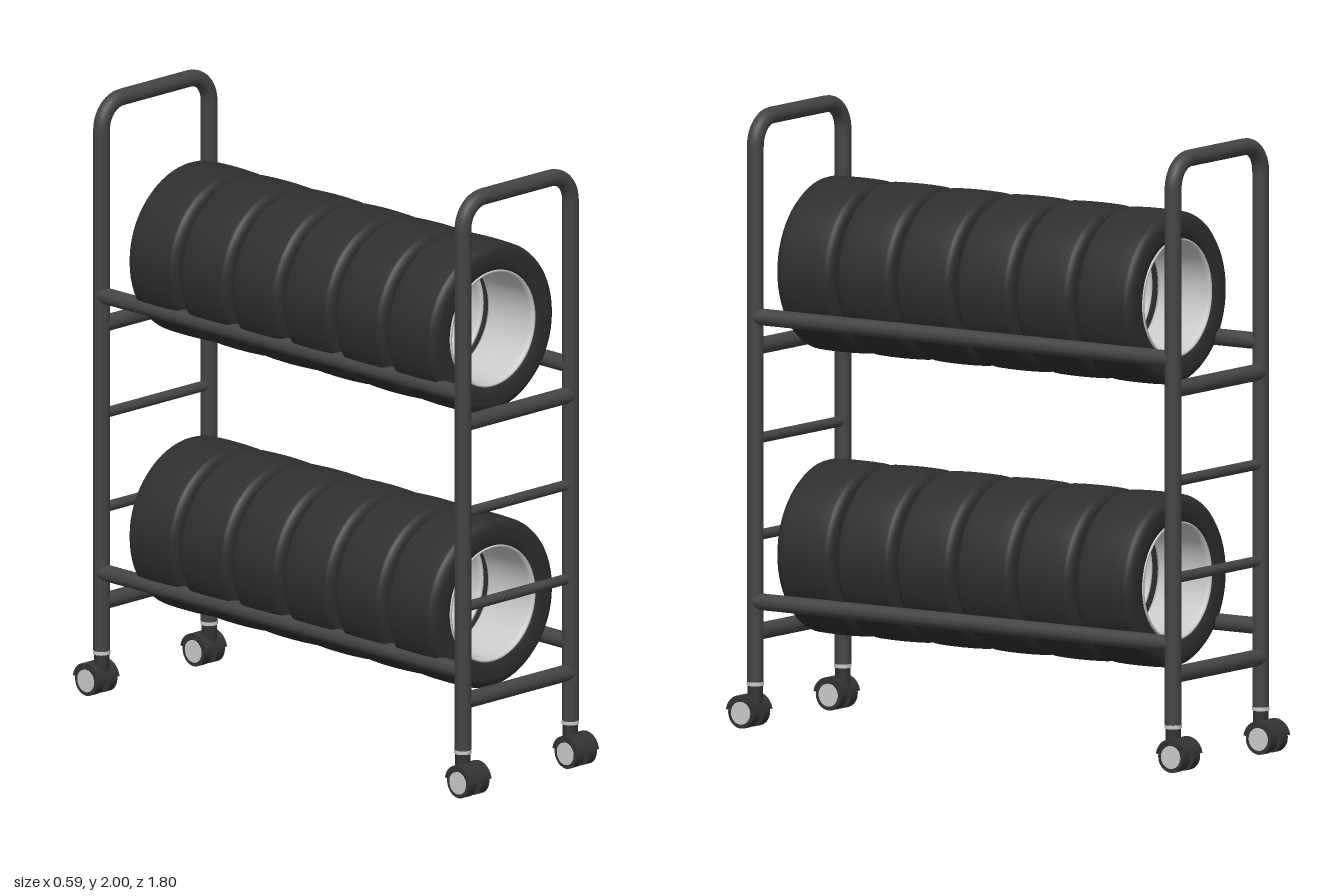
import * as THREE from 'three';

const POST_X = 0.243, POST_Z = 0.818, PIPE = 0.027;

const paint = (color, side = THREE.FrontSide) =>
  new THREE.MeshStandardMaterial({ color, side });

export function createModel() {
  const model = new THREE.Group();
  model.name = 'tyreRack';
  const frameMat = paint(0x444444), tyreMat = paint(0x2e2e2e);
  const casterMat = paint(0x333333), greyMat = paint(0xcccccc);
  const rimMat = paint(0xcccccc, THREE.DoubleSide);

  const add = (parent, name, geometry, material, x = 0, y = 0, z = 0) => {
    const mesh = new THREE.Mesh(geometry, material);
    mesh.name = name;
    mesh.position.set(x, y, z);
    parent.add(mesh);
    return mesh;
  };
  const rodX = (r, length) => new THREE.CylinderGeometry(r, r, length, 24).rotateZ(Math.PI / 2);
  const rodZ = (r, length) => new THREE.CylinderGeometry(r, r, length, 24).rotateX(Math.PI / 2);

  // Hoop: two posts joined by a top bar with rounded corners
  const top = 2 - PIPE, bend = 0.09, k = bend * 0.448;
  const v = (x, y) => new THREE.Vector3(x, y, 0);
  const hoop = new THREE.CurvePath();
  hoop.add(new THREE.LineCurve3(v(-POST_X, 0.15), v(-POST_X, top - bend)));
  hoop.add(new THREE.CubicBezierCurve3(v(-POST_X, top - bend), v(-POST_X, top - k), v(-POST_X + k, top), v(-POST_X + bend, top)));
  hoop.add(new THREE.LineCurve3(v(-POST_X + bend, top), v(POST_X - bend, top)));
  hoop.add(new THREE.CubicBezierCurve3(v(POST_X - bend, top), v(POST_X - k, top), v(POST_X, top - k), v(POST_X, top - bend)));
  hoop.add(new THREE.LineCurve3(v(POST_X, top - bend), v(POST_X, 0.15)));
  const hoopGeo = new THREE.TubeGeometry(hoop, 240, PIPE, 20);

  // Ladder bars of each end frame: height and radius
  const bars = [[1.235, PIPE], [0.937, 0.017], [0.624, 0.017], [0.312, PIPE]];
  for (const s of [1, -1]) {
    const end = new THREE.Group();
    end.name = s > 0 ? 'frontFrame' : 'backFrame';
    end.position.z = s * POST_Z;
    add(end, 'hoop', hoopGeo, frameMat);
    for (const [y, r] of bars) add(end, 'crossBar', rodX(r, POST_X * 2), frameMat, 0, y);
    model.add(end);
  }

  // Long rails that carry the tyres
  for (const y of [1.333, 0.412])
    for (const x of [-POST_X, POST_X])
      add(model, 'sideRail', rodZ(PIPE, POST_Z * 2), frameMat, x, y);

  // Tyre section (radius, offset along the axle), mirrored about its middle
  const half = [[0.19, 0.098], [0.2, 0.106], [0.225, 0.109], [0.25, 0.109], [0.264, 0.106], [0.276, 0.094], [0.279, 0.085], [0.2805, 0.045], [0.281, 0]];
  const section = [...half, ...half.slice(0, -1).reverse().map(([r, w]) => [r, -w])];
  const tyreGeo = new THREE.LatheGeometry(section.map(([r, w]) => new THREE.Vector2(r, -w)), 64).rotateX(Math.PI / 2);

  // Open rim: a lip on each side and a plain barrel between
  const rimHalf = [[0.192, 0.098], [0.192, 0.104], [0.186, 0.105], [0.183, 0.098], [0.178, 0.092], [0.178, 0.0]];
  const rimSection = [...rimHalf, ...rimHalf.slice(0, -1).reverse().map(([r, w]) => [r, -w])];
  const rimGeo = new THREE.LatheGeometry(rimSection.map(([r, w]) => new THREE.Vector2(r, w)), 64).rotateX(Math.PI / 2);

  for (const y of [1.486, 0.571])
    for (let i = 0; i < 6; i++) {
      const wheel = new THREE.Group();
      wheel.name = 'wheel';
      wheel.position.set(-0.013, y, 0.62 - i * 0.2342);
      add(wheel, 'tyre', tyreGeo, tyreMat);
      add(wheel, 'rim', rimGeo, rimMat);
      model.add(wheel);
    }

  // Caster hood: an arched strip over the twin wheels
  const arch = new THREE.Shape();
  arch.absarc(0, 0, 0.058, 0.15, Math.PI - 0.15, false);
  arch.absarc(0, 0, 0.05, Math.PI - 0.15, 0.15, true);
  arch.closePath();
  const hoodGeo = new THREE.ExtrudeGeometry(arch, { depth: 0.096, bevelEnabled: false, curveSegments: 20 })
    .translate(0, 0, -0.048).rotateY(-Math.PI / 2);

  for (const sx of [1, -1])
    for (const sz of [1, -1]) {
      const caster = new THREE.Group();
      caster.name = 'caster';
      caster.position.set(sx * POST_X, 0, sz * POST_Z);
      const off = sz * 0.024, wy = 0.053;
      add(caster, 'collar', new THREE.CylinderGeometry(0.028, 0.028, 0.012, 24), greyMat, 0, 0.146);
      add(caster, 'stem', new THREE.CylinderGeometry(0.025, 0.025, 0.055, 20), casterMat, 0, 0.113);
      add(caster, 'hood', hoodGeo, casterMat, 0, wy, off);
      add(caster, 'yoke', new THREE.BoxGeometry(0.024, 0.06, 0.06), casterMat, 0, 0.072, off * 0.7);
      for (const side of [1, -1]) {
        add(caster, 'casterWheel', rodX(0.05, 0.034), casterMat, side * 0.029, wy, off);
        add(caster, 'hubCap', rodX(0.037, 0.004), greyMat, side * 0.047, wy, off);
      }
      model.add(caster);
    }

  return model;
}
